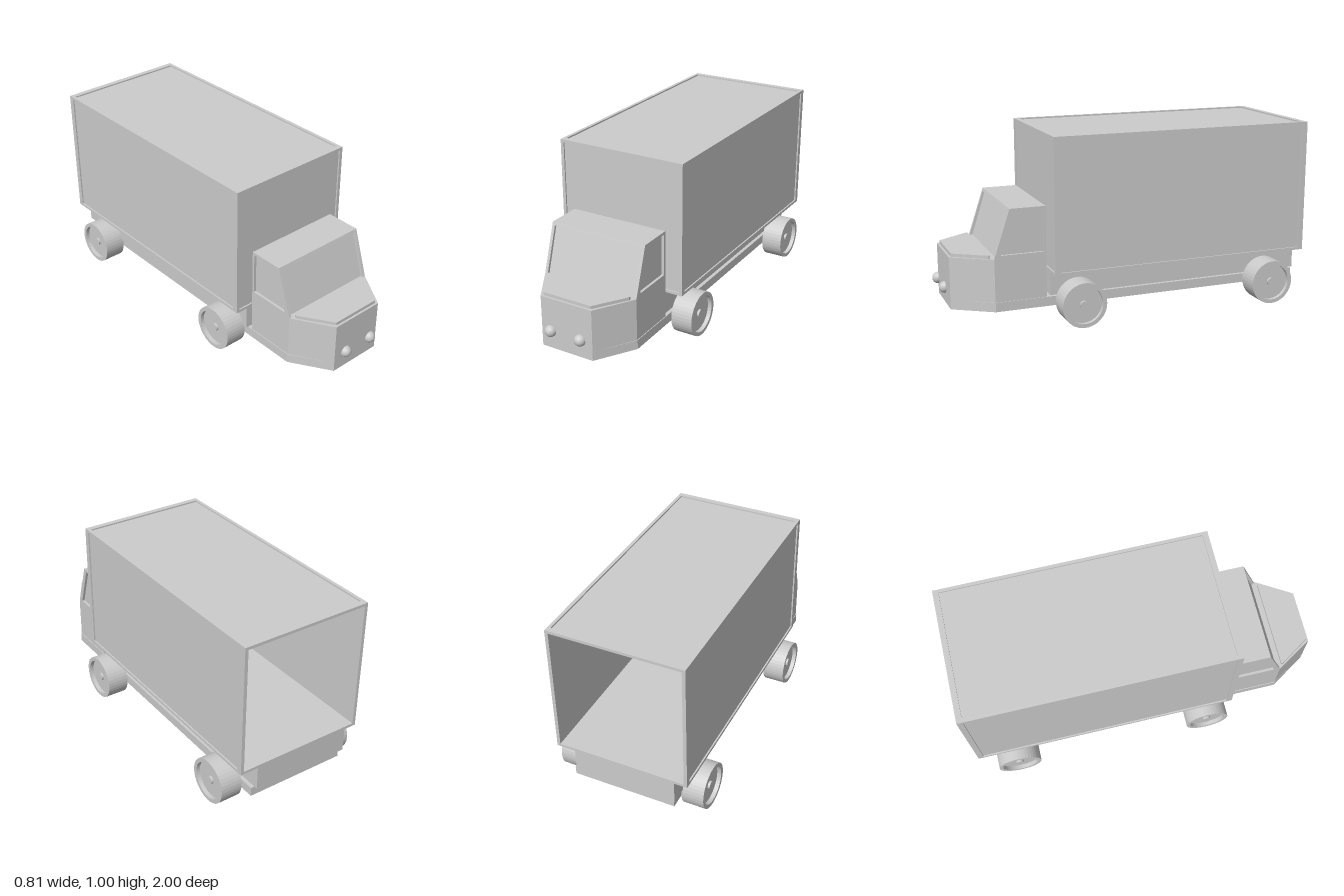
import * as THREE from 'three';

const grey = new THREE.MeshStandardMaterial({ color: 0xcccccc, flatShading: true });
const smooth = new THREE.MeshStandardMaterial({ color: 0xcccccc, side: THREE.DoubleSide });
const pts = (list) => list.map(([a, b]) => new THREE.Vector2(a, b));

export function createModel() {
  const root = new THREE.Group();

  const add = (parent, name, geometry, material = grey) => {
    const mesh = new THREE.Mesh(geometry, material);
    mesh.name = name;
    parent.add(mesh);
    return mesh;
  };
  const group = (name) => {
    const g = new THREE.Group();
    g.name = name;
    root.add(g);
    return g;
  };
  // Box given by its limits on each axis
  const block = (parent, name, x0, x1, y0, y1, z0, z1) =>
    add(parent, name, new THREE.BoxGeometry(x1 - x0, y1 - y0, z1 - z0)
      .translate((x0 + x1) / 2, (y0 + y1) / 2, (z0 + z1) / 2));
  // Outline in (x, z), extruded upwards
  const plan = (parent, name, outline, y0, y1) =>
    add(parent, name, new THREE.ExtrudeGeometry(new THREE.Shape(pts(outline)), { depth: y1 - y0, bevelEnabled: false })
      .rotateX(Math.PI / 2).translate(0, y1, 0));
  // Outline in (z, y), extruded across x, with an optional hole
  const side = (parent, name, outline, x0, x1, hole) => {
    const shape = new THREE.Shape(pts(outline));
    if (hole) shape.holes.push(new THREE.Path(pts(hole)));
    return add(parent, name, new THREE.ExtrudeGeometry(shape, { depth: x1 - x0, bevelEnabled: false })
      .rotateY(-Math.PI / 2).translate(x1, 0, 0));
  };
  // Symmetric outline with a tapered nose
  const nose = (w, back, shoulder, tip, front) =>
    [[-w, back], [w, back], [w, shoulder], [tip, front], [-tip, front], [-w, shoulder]];

  // Chassis
  const chassis = group('chassis');
  plan(chassis, 'chassisPlate', nose(0.28, -0.98, 0.75, 0.15, 0.955), 0.1, 0.15);
  block(chassis, 'cargoBase', -0.292, 0.26, 0.15, 0.285, -1, 0.45);

  // Cab: tapered lower body, raised hood, recessed glass between side frames
  const cab = group('cab');
  plan(cab, 'cabBody', nose(0.276, 0.475, 0.75, 0.15, 0.955), 0.15, 0.378);
  plan(cab, 'hood', nose(0.25, 0.765, 0.775, 0.14, 0.943), 0.378, 0.395);
  side(cab, 'windows', [[0.475, 0.375], [0.735, 0.375], [0.655, 0.625], [0.475, 0.625]], -0.262, 0.262);
  side(cab, 'roof', [[0.475, 0.62], [0.67, 0.62], [0.665, 0.635], [0.475, 0.635]], -0.26, 0.26);
  for (const s of [-1, 1]) {
    side(cab, s > 0 ? 'leftDoorFrame' : 'rightDoorFrame',
      [[0.475, 0.378], [0.75, 0.378], [0.665, 0.635], [0.475, 0.635]],
      s > 0 ? 0.26 : -0.276, s > 0 ? 0.276 : -0.26,
      [[0.487, 0.395], [0.715, 0.395], [0.643, 0.62], [0.487, 0.62]]);
  }

  // Headlights: domes in front of the nose
  for (const s of [-1, 1]) {
    const light = group(s > 0 ? 'leftHeadlight' : 'rightHeadlight');
    light.position.set(s * 0.088, 0.205, 0.968);
    add(light, 'dome', new THREE.SphereGeometry(0.031, 24, 8, 0, Math.PI * 2, 0, Math.PI / 2).rotateX(Math.PI / 2), smooth);
    add(light, 'domeBack', new THREE.CircleGeometry(0.031, 24), smooth);
  }

  // Cargo box: edge bars with thin recessed panels, open at the back
  const cargo = group('cargoBox');
  const X = 0.362, Y0 = 0.28, Y1 = 1, Z0 = -1, Z1 = 0.455, t = 0.018, tz = 0.03;
  for (const s of [-1, 1]) {
    const xa = s > 0 ? X - t : -X, xb = xa + t;
    block(cargo, 'frontPost', xa, xb, Y0, Y1, Z1 - tz, Z1);
    block(cargo, 'rearPost', xa, xb, Y0, Y1, Z0, Z0 + tz);
    for (const y of [Y0, Y1 - 0.015]) block(cargo, 'sideRail', xa, xb, y, y + 0.015, Z0 + tz, Z1 - tz);
    block(cargo, 'sidePanel', s > 0 ? X - t : -X + 0.008, s > 0 ? X - 0.008 : -X + t, Y0 + 0.015, Y1 - 0.015, Z0 + tz, Z1 - tz);
  }
  for (const y of [Y0, Y1 - 0.015]) {
    block(cargo, 'frontRail', -X + t, X - t, y, y + 0.015, Z1 - tz, Z1);
    block(cargo, 'rearRail', -X + t, X - t, y, y + 0.015, Z0, Z0 + tz);
  }
  block(cargo, 'frontPanel', -X + t, X - t, Y0 + 0.015, Y1 - 0.015, Z1 - tz, Z1 - 0.008);
  block(cargo, 'roofPanel', -X + t, X - t, Y1 - 0.015, Y1 - 0.008, Z0 + tz, Z1 - tz);
  block(cargo, 'floorPanel', -X + t, X - t, Y0 + 0.006, Y0 + 0.015, Z0 + tz, Z1 - tz);

  // Wheels: rim recessed on both faces, with a hub cap
  const half = [[0.121, 0.06], [0.1, 0.06], [0.1, 0.038], [0.021, 0.038], [0.021, 0.05], [0, 0.05]];
  const profile = [...half.map(([r, h]) => [r, -h]).reverse(), ...half];
  const wheelGeometry = new THREE.LatheGeometry(pts(profile), 40).rotateZ(Math.PI / 2);
  for (const [end, z] of [['front', 0.31], ['rear', -0.79]]) {
    for (const s of [-1, 1]) {
      add(root, end + (s > 0 ? 'LeftWheel' : 'RightWheel'), wheelGeometry).position.set(s * 0.346, 0.121, z);
    }
  }
  return root;
}
